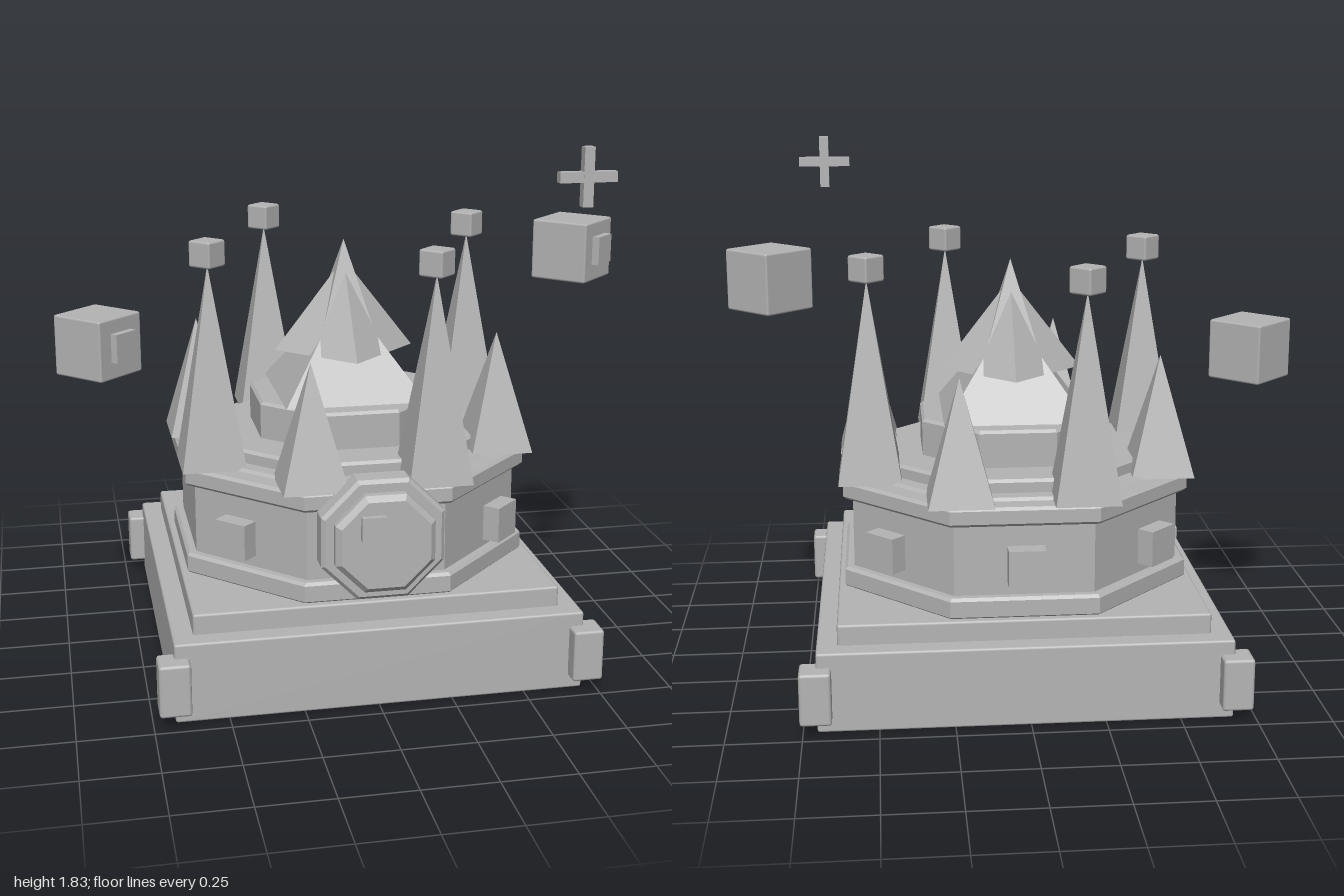
import * as THREE from 'three';
import { RoundedBoxGeometry } from 'three/addons/geometries/RoundedBoxGeometry.js';

const stone = new THREE.MeshStandardMaterial({ color: 0xb4b4b4 });
stone.name = 'stone grey';

// Faceted normals for low-poly forms
function facet(geometry) {
  const g = geometry.index ? geometry.toNonIndexed() : geometry;
  g.computeVertexNormals();
  return g;
}

function add(parent, name, geometry, x = 0, y = 0, z = 0, turn = 0) {
  const mesh = new THREE.Mesh(geometry, stone);
  mesh.name = name;
  mesh.position.set(x, y, z);
  mesh.rotation.y = turn;
  parent.add(mesh);
  return mesh;
}

// Box with a small bevel
const block = (w, h, d, bevel = 0.008) => new RoundedBoxGeometry(w, h, d, 1, bevel);

// Bevelled octagonal slab: a = distance from axis to flat side, from y0 to y1
function octagon(a, y0, y1, bevel = 0.01) {
  const profile = [[0, y0], [a - bevel, y0], [a, y0 + bevel], [a, y1 - bevel], [a - bevel, y1], [0, y1]];
  const k = 1 / Math.cos(Math.PI / 8);
  const points = profile.map(([r, y]) => new THREE.Vector2(r * k, y));
  return facet(new THREE.LatheGeometry(points, 8, Math.PI / 8));
}

// Four-sided pyramid standing on y = 0; r = distance from axis to a corner
function pyramid(r, h) {
  const g = new THREE.ConeGeometry(r, h, 4);
  g.translate(0, h / 2, 0);
  return facet(g);
}

export function createModel() {
  const model = new THREE.Group();
  model.name = 'castle';
  const castle = new THREE.Group();
  castle.name = 'castleBody';
  castle.position.x = 0.013;
  model.add(castle);
  const quarter = Math.PI / 4;

  // Square base, step and corner posts
  add(castle, 'base', block(1.38, 0.275, 1.38), 0, 0.1385, 0);
  add(castle, 'step', block(1.242, 0.1, 1.242), 0, 0.295, 0);
  for (const sx of [-1, 1]) for (const sz of [-1, 1])
    add(castle, 'cornerPost', block(0.105, 0.18, 0.105, 0.01), sx * 0.693, 0.138, sz * 0.693);

  // Octagonal tiers
  add(castle, 'drumFoot', octagon(0.598, 0.34, 0.415));
  add(castle, 'drum', octagon(0.565, 0.4, 0.67));
  add(castle, 'drumCornice', octagon(0.598, 0.66, 0.725));
  add(castle, 'terrace', octagon(0.525, 0.7, 0.735));
  add(castle, 'parapet', octagon(0.465, 0.72, 0.78));
  add(castle, 'keep', octagon(0.32, 0.77, 0.91));

  // Central roof of three interlocking pyramids
  const root2 = Math.SQRT2;
  add(castle, 'lowerRoof', pyramid(0.247 * root2, 0.35), 0, 0.91, 0, quarter);
  add(castle, 'middleRoof', pyramid(0.247, 0.32), 0, 1.06, 0);
  add(castle, 'upperRoof', pyramid(0.1 * root2, 0.34), 0, 1.11, 0, quarter);

  // Ring of spires, alternately tall with a cube finial and short
  const ring = [[-0.208, -0.503], [0.503, -0.208], [0.208, 0.503], [-0.503, 0.208]];
  for (const [x, z] of ring) {
    add(castle, 'tallSpire', pyramid(0.109 * root2, 0.69), x, 0.725, z, quarter);
    add(castle, 'spireFinial', block(0.089, 0.09, 0.089, 0.008), x, 1.455, z, quarter);
    add(castle, 'shortSpire', pyramid(0.109 * root2, 0.415), -x, 0.725, z, quarter);
  }

  // Window blocks around the drum: four diagonals and the back
  for (const i of [1, 3, 4, 5, 7]) {
    const a = i * quarter;
    add(castle, 'windowBlock', new THREE.BoxGeometry(0.122, 0.122, 0.06),
      Math.sin(a) * 0.645, 0.54, Math.cos(a) * 0.645, a);
  }

  // Octagonal medallion on the front
  const medallion = new THREE.Group();
  medallion.name = 'medallion';
  medallion.position.set(0, 0.58, 0);
  castle.add(medallion);
  add(medallion, 'medallionRim', octagon(0.205, 0.58, 0.675, 0.012)).rotation.x = Math.PI / 2;
  add(medallion, 'medallionFace', octagon(0.165, 0.66, 0.722, 0.018)).rotation.x = Math.PI / 2;
  add(medallion, 'medallionStud', new THREE.BoxGeometry(0.08, 0.08, 0.06), -0.045, 0.063, 0.712);

  // Floating cubes, each with a plaque on its front left face
  for (const [x, y] of [[-0.851, 1.115], [0.851, 1.39]]) {
    const cube = new THREE.Group();
    cube.name = 'floatingCube';
    cube.position.set(x, y, 0);
    cube.rotation.y = quarter;
    model.add(cube);
    add(cube, 'cubeBody', block(0.211, 0.213, 0.211));
    add(cube, 'cubePlaque', new THREE.BoxGeometry(0.1, 0.1, 0.04), 0, 0.005, 0.112);
  }

  // Floating cross
  const cross = new THREE.Group();
  cross.name = 'floatingCross';
  cross.position.set(0.672, 1.735, 0.628);
  model.add(cross);
  add(cross, 'crossUpright', new THREE.BoxGeometry(0.034, 0.19, 0.034));
  add(cross, 'crossArm', new THREE.BoxGeometry(0.19, 0.034, 0.032));

  return model;
}
